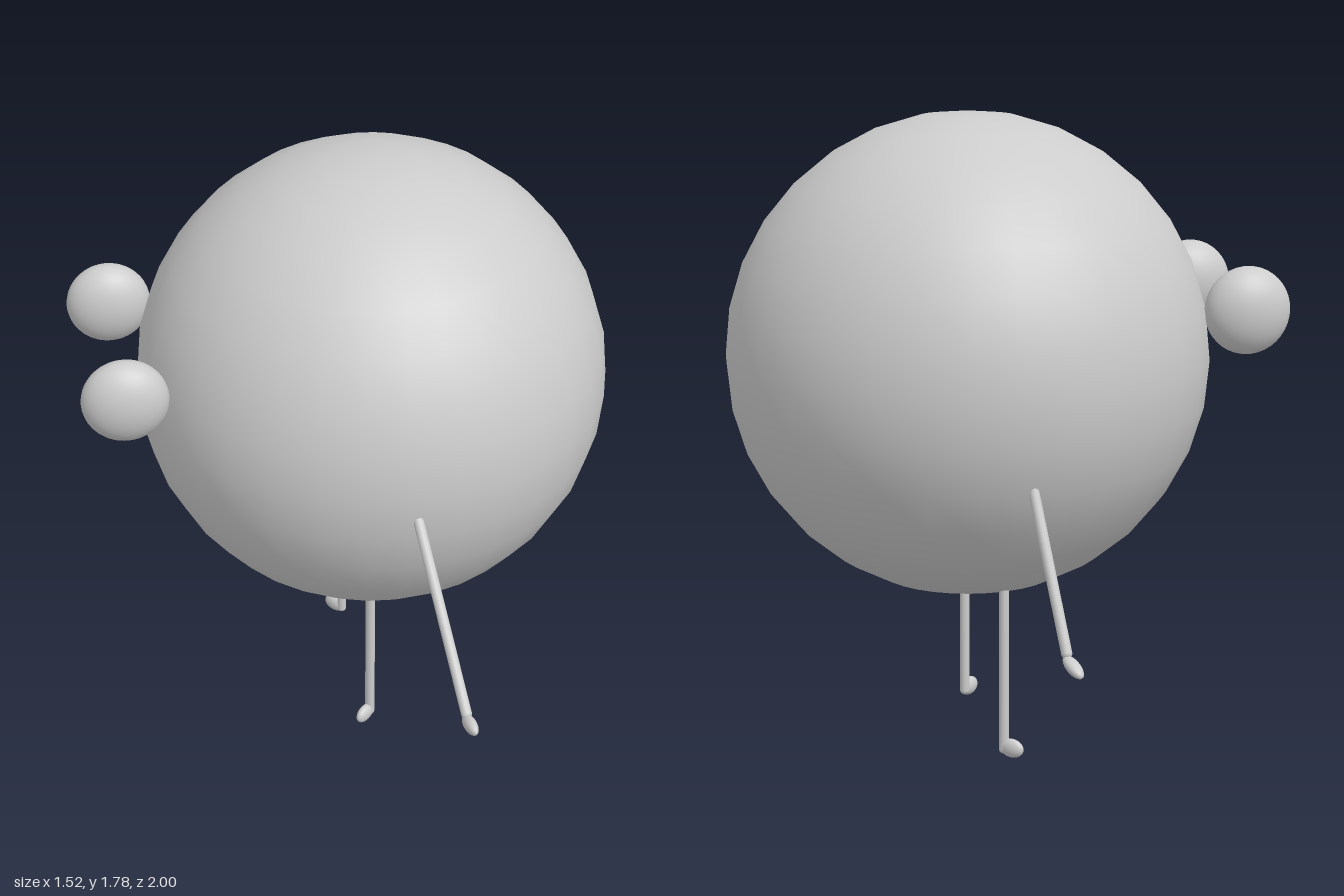
import * as THREE from 'three';

const V = (x, y, z) => new THREE.Vector3(x, y, z);

export function createModel() {
  const model = new THREE.Group();
  const grey = new THREE.MeshStandardMaterial({ color: 0xcccccc });
  grey.name = 'plain grey';

  const add = (name, geometry, parent = model) => {
    const mesh = new THREE.Mesh(geometry, grey);
    mesh.name = name;
    parent.add(mesh);
    return mesh;
  };

  // Ellipsoid whose local z axis points along a direction
  const blob = (name, center, radii, dir, parent, w = 24, h = 16) => {
    const mesh = add(name, new THREE.SphereGeometry(1, w, h), parent);
    mesh.position.copy(center);
    mesh.scale.set(...radii);
    mesh.quaternion.setFromUnitVectors(V(0, 0, 1), dir.clone().normalize());
    return mesh;
  };

  // Thin round rod between two points
  const rod = (name, a, b, radius, parent) => {
    const mesh = add(name, new THREE.CapsuleGeometry(radius, a.distanceTo(b), 6, 14), parent);
    mesh.position.copy(a).lerp(b, 0.5);
    mesh.quaternion.setFromUnitVectors(V(0, 1, 0), b.clone().sub(a).normalize());
  };

  // Round body
  add('body', new THREE.SphereGeometry(0.675, 32, 16)).position.set(0.085, 1.102, -0.147);

  // Bulging eyes on the -x side
  for (const [name, z] of [['frontEye', 0.11], ['backEye', -0.412]]) {
    blob(name, V(-0.642, 1.24, z), [0.121, 0.122, 0.078], V(0, 0, 1), model, 32, 20);
  }

  // Straight legs with small feet turned outward
  for (const [name, z, s] of [['frontLeg', 0.108, 1], ['backLeg', -0.401, -1]]) {
    const leg = new THREE.Group();
    leg.name = name;
    model.add(leg);
    rod('shin', V(0.04, 0.022, z), V(0.04, 0.52, z), 0.0145, leg);
    const foot = blob('foot', V(0.022, 0.028, z + s * 0.018), [0.017, 0.027, 0.038], V(0, 0, 1), leg);
    foot.rotation.set(0, -s * Math.PI / 4, 0);
  }

  // Slanting arms with flattened hands
  const arms = [
    ['frontArm', V(0.09, 1.06, 0.485), V(0.146, 0.7, 0.925), V(0.15, 0.687, 0.955), V(0.01, 0.01, 0.07)],
    ['backArm', V(0.05, 0.87, -0.755), V(0.002, 0.468, -0.93), V(-0.007, 0.441, -0.962), V(-0.02, -0.03, -0.07)],
  ];
  for (const [name, shoulder, wrist, palm, dir] of arms) {
    const arm = new THREE.Group();
    arm.name = name;
    model.add(arm);
    rod('forearm', shoulder, wrist, 0.0145, arm);
    blob('hand', palm, [0.017, 0.021, 0.044], dir, arm);
  }

  return model;
}
